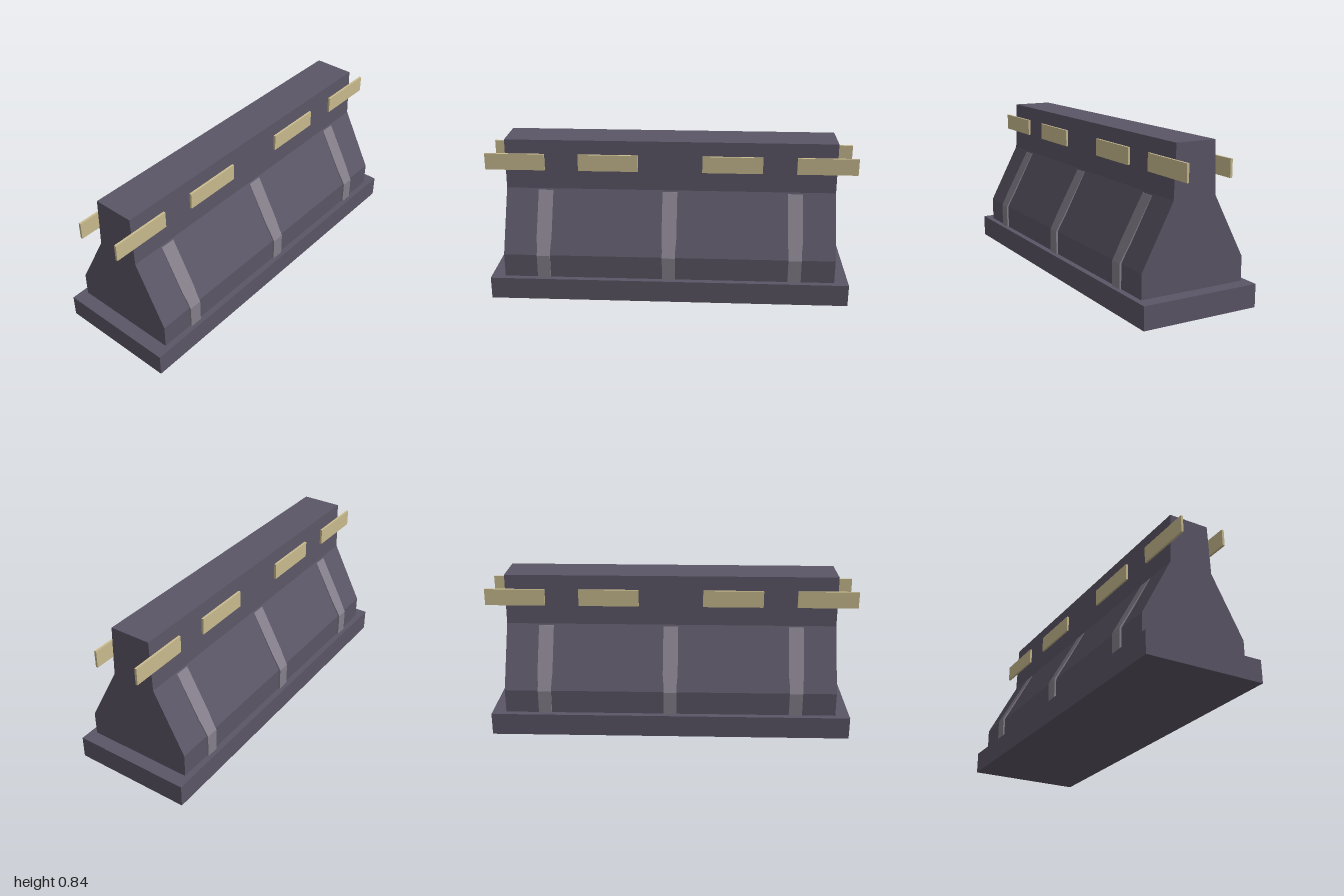
import * as THREE from 'three';

export function createModel() {
  const group = new THREE.Group();
  const flat = (name, color) => new THREE.MeshStandardMaterial({ name, color, flatShading: true });
  const stone = flat('dark slate', 0x5b5666);
  const ribGrey = flat('light slate', 0x857f8b);
  const tan = flat('tan', 0xcabc90);

  const add = (name, geometry, material, x = 0, y = 0, z = 0) => {
    const mesh = new THREE.Mesh(geometry, material);
    mesh.name = name;
    mesh.position.set(x, y, z);
    group.add(mesh);
    return mesh;
  };

  // Plinth
  add('base', new THREE.BoxGeometry(1.93, 0.12, 0.644), stone, 0, 0.06, 0);

  // Barrier wall: symmetric profile extruded along x
  const half = [[0.29, 0.118], [0.29, 0.247], [0.12, 0.57], [0.11, 0.84]];
  const profile = [...half, ...half.map(([z, y]) => [-z, y]).reverse()];
  const shape = new THREE.Shape(profile.map(([z, y]) => new THREE.Vector2(z, y)));
  const wall = new THREE.ExtrudeGeometry(shape, { depth: 1.78, bevelEnabled: false });
  wall.translate(0, 0, -0.89).rotateY(-Math.PI / 2);
  add('wall', wall, stone);

  // Rib: cross-sections [y, outer z, half width] following the wall face
  const sections = [
    [0.119, 0.3, 0.035], [0.247, 0.3, 0.035], [0.29, 0.2765, 0.036],
    [0.33, 0.2543, 0.04], [0.562, 0.127, 0.04],
  ];
  const ribGeometry = () => {
    const pos = [];
    const index = [];
    sections.forEach(([y, z, w]) => {
      pos.push(-w, y, z, w, y, z, w, y, z - 0.03, -w, y, z - 0.03);
    });
    const quad = (a, b, c, d) => index.push(a, b, c, a, c, d);
    for (let i = 0; i < sections.length - 1; i++) {
      for (let k = 0; k < 4; k++) {
        const a = i * 4 + k;
        const b = i * 4 + ((k + 1) % 4);
        quad(a, b, b + 4, a + 4);
      }
    }
    const t = (sections.length - 1) * 4;
    quad(t, t + 1, t + 2, t + 3);
    quad(3, 2, 1, 0);
    const g = new THREE.BufferGeometry();
    g.setAttribute('position', new THREE.Float32BufferAttribute(pos, 3));
    g.setIndex(index);
    g.computeVertexNormals();
    return g;
  };
  const rib = ribGeometry();
  const plate = new THREE.BoxGeometry(0.323, 0.09, 0.012);

  // Ribs and marker plates on both long faces
  for (const side of [1, -1]) {
    const label = side > 0 ? 'front' : 'back';
    for (const x of [-0.675, 0, 0.675]) {
      add(`${label}Rib`, rib, ribGrey, x).rotation.y = side > 0 ? 0 : Math.PI;
    }
    for (const x of [-0.8385, -0.334, 0.334, 0.8385]) {
      add(`${label}Plate`, plate, tan, x, 0.719, side * 0.121);
    }
  }
  return group;
}
